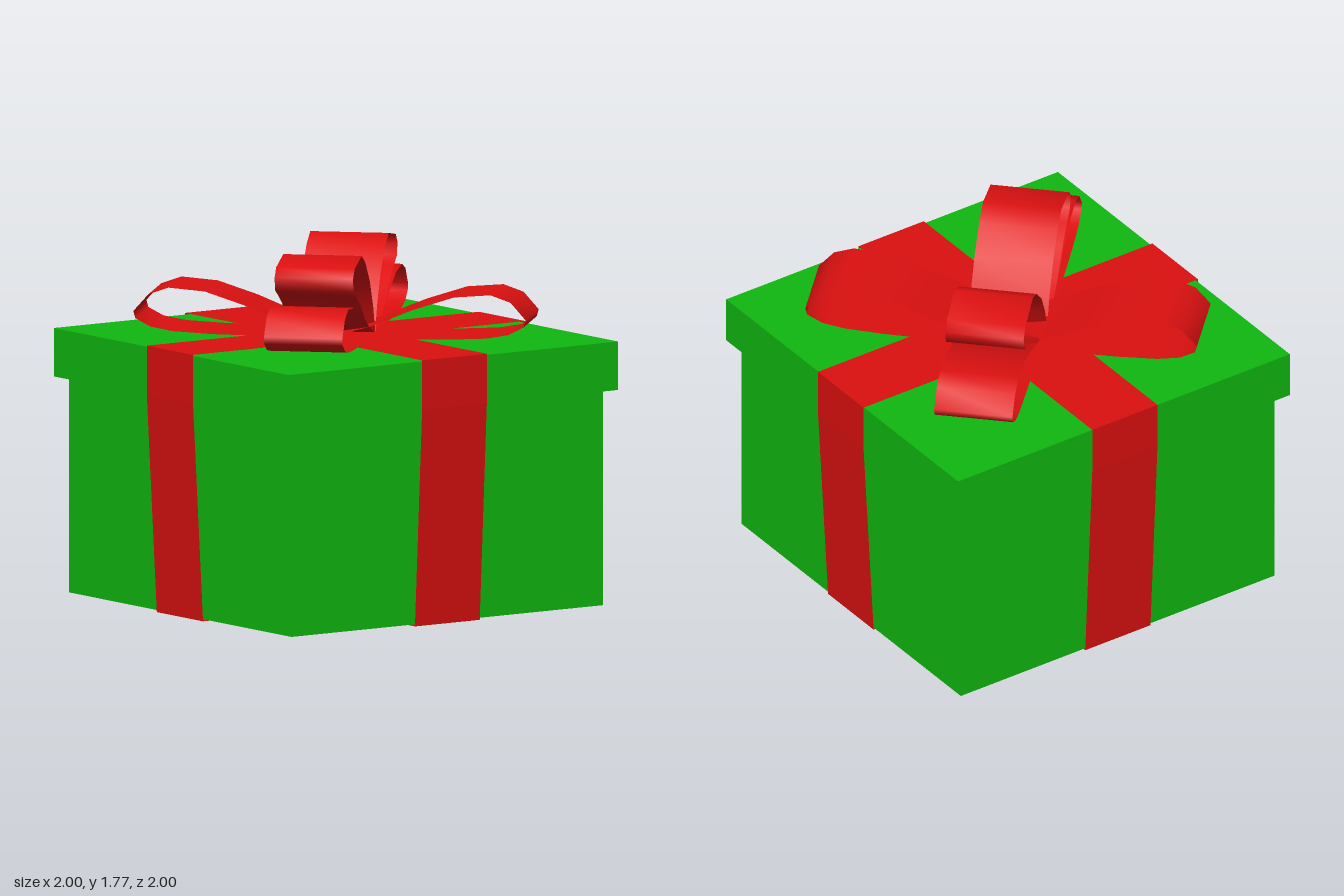
import * as THREE from 'three';

const HALF_WIDTH = 0.195;

// Sweeps a flat strip along a counter-clockwise profile of [x, y] points; width runs along z.
function stripGeometry(profile, smooth) {
  const positions = [];
  const index = [];
  profile.forEach(([x, y], i) => {
    positions.push(x, y, HALF_WIDTH, x, y, -HALF_WIDTH);
    if (i < profile.length - 1) {
      const a = i * 2;
      index.push(a, a + 1, a + 2, a + 1, a + 3, a + 2);
    }
  });
  let geometry = new THREE.BufferGeometry();
  geometry.setAttribute('position', new THREE.Float32BufferAttribute(positions, 3));
  geometry.setIndex(index);
  if (!smooth) geometry = geometry.toNonIndexed();
  geometry.computeVertexNormals();
  return geometry;
}

export function createModel() {
  const green = new THREE.MeshStandardMaterial({ color: 0x10b810 });
  green.name = 'green paper';
  const red = new THREE.MeshStandardMaterial({ color: 0xdc1010, side: THREE.DoubleSide });
  red.name = 'red ribbon';

  const model = new THREE.Group();
  model.name = 'giftBox';
  const add = (name, geometry, material, parent = model) => {
    const mesh = new THREE.Mesh(geometry, material);
    mesh.name = name;
    parent.add(mesh);
    return mesh;
  };

  // Box body and overhanging lid
  add('boxBody', new THREE.BoxGeometry(1.876, 1.1, 1.876), green).position.y = 0.56;
  add('lid', new THREE.BoxGeometry(1.984, 0.24, 1.984), green).position.y = 1.198;

  // Two ribbons wrapped all the way round, flaring out to clear the lid
  const wrap = [
    [-0.94, 0], [0.94, 0], [1, 1.08], [1, 1.325],
    [-1, 1.325], [-1, 1.08], [-0.94, 0],
  ];
  const wrapGeometry = stripGeometry(wrap, false);
  add('ribbonAcross', wrapGeometry, red);
  add('ribbonFrontToBack', wrapGeometry, red).rotation.y = Math.PI / 2;

  // Bow: four low loops on the diagonals, two tall loops above them
  const bow = new THREE.Group();
  bow.name = 'bow';
  model.add(bow);

  const lowLoop = stripGeometry([
    [0, 1.33], [0.3, 1.332], [0.58, 1.335], [0.78, 1.345], [0.89, 1.365], [0.965, 1.405],
    [0.975, 1.44], [0.9, 1.525], [0.8, 1.56], [0.62, 1.545],
    [0.42, 1.48], [0.2, 1.39], [0, 1.335],
  ], true);
  const tallLoop = stripGeometry([
    [0, 1.335], [0.15, 1.375], [0.3, 1.44], [0.44, 1.535], [0.56, 1.59], [0.645, 1.625],
    [0.66, 1.69], [0.61, 1.735], [0.4, 1.77], [0.29, 1.72],
    [0.16, 1.61], [0.06, 1.47], [0, 1.34],
  ], true);

  for (let i = 0; i < 4; i++) {
    const angle = Math.PI / 4 + i * Math.PI / 2;
    add('lowLoop' + (i + 1), lowLoop, red, bow).rotation.y = angle;
    if (i % 2 === 0) add('tallLoop' + (i / 2 + 1), tallLoop, red, bow).rotation.y = angle;
  }
  return model;
}
